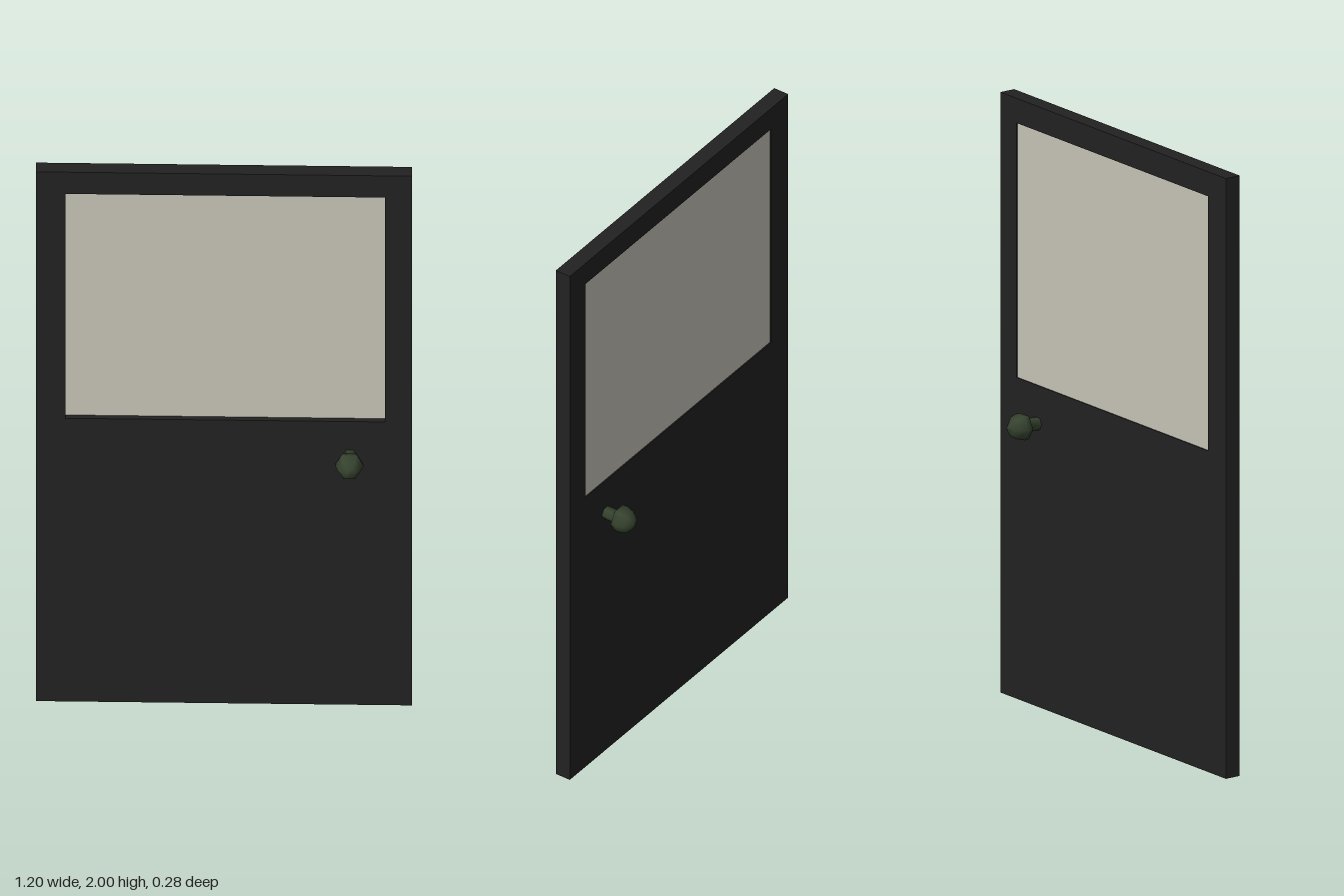
import * as THREE from 'three';

export function createModel() {
  const frameMat = new THREE.MeshStandardMaterial({ color: 0x222222 });
  frameMat.name = 'charcoal';
  const paneMat = new THREE.MeshStandardMaterial({ color: 0xc9c5b9 });
  paneMat.name = 'pale glass';
  const knobMat = new THREE.MeshStandardMaterial({ color: 0x36432f });
  knobMat.name = 'dark green';

  const model = new THREE.Group();
  model.name = 'door';
  const add = (name, geometry, material) => {
    const mesh = new THREE.Mesh(geometry, material);
    mesh.name = name;
    model.add(mesh);
    return mesh;
  };

  const depth = 0.055;
  const win = { left: -0.505, right: 0.514, bottom: 1.07, top: 1.918 };

  // door leaf with a window opening
  const leaf = new THREE.Shape([
    new THREE.Vector2(-0.6, 0), new THREE.Vector2(0.6, 0),
    new THREE.Vector2(0.6, 2), new THREE.Vector2(-0.6, 2),
  ]);
  leaf.holes.push(new THREE.Path([
    new THREE.Vector2(win.left, win.bottom), new THREE.Vector2(win.left, win.top),
    new THREE.Vector2(win.right, win.top), new THREE.Vector2(win.right, win.bottom),
  ]));
  const leafGeo = new THREE.ExtrudeGeometry(leaf, { depth, bevelEnabled: false });
  leafGeo.translate(0, 0, -depth / 2);
  add('doorLeaf', leafGeo, frameMat);

  // window pane, recessed more at the front than at the back
  const front = 0.0075, back = -0.0235;
  const pane = add('windowPane', new THREE.BoxGeometry(
    win.right - win.left + 0.004, win.top - win.bottom + 0.004, front - back), paneMat);
  pane.position.set((win.left + win.right) / 2, (win.top + win.bottom) / 2, (front + back) / 2);

  // six-sided knob and stem, one on each side
  const profile = [
    [0.022, 0.02], [0.022, 0.065], [0.044, 0.078], [0.045, 0.096],
    [0.037, 0.121], [0.02, 0.136], [0, 0.14],
  ].map(([r, y]) => new THREE.Vector2(r, y));
  const knobGeo = new THREE.LatheGeometry(profile, 6, Math.PI / 6);
  for (const side of [1, -1]) {
    const knob = add(side > 0 ? 'frontKnob' : 'backKnob', knobGeo, knobMat);
    knob.position.set(0.402, 0.944, 0);
    knob.rotation.x = side * Math.PI / 2;
  }

  // the door stands very slightly ajar
  model.rotation.y = -0.0104;
  model.position.z = -0.006;
  const root = new THREE.Group();
  root.add(model);
  return root;
}
